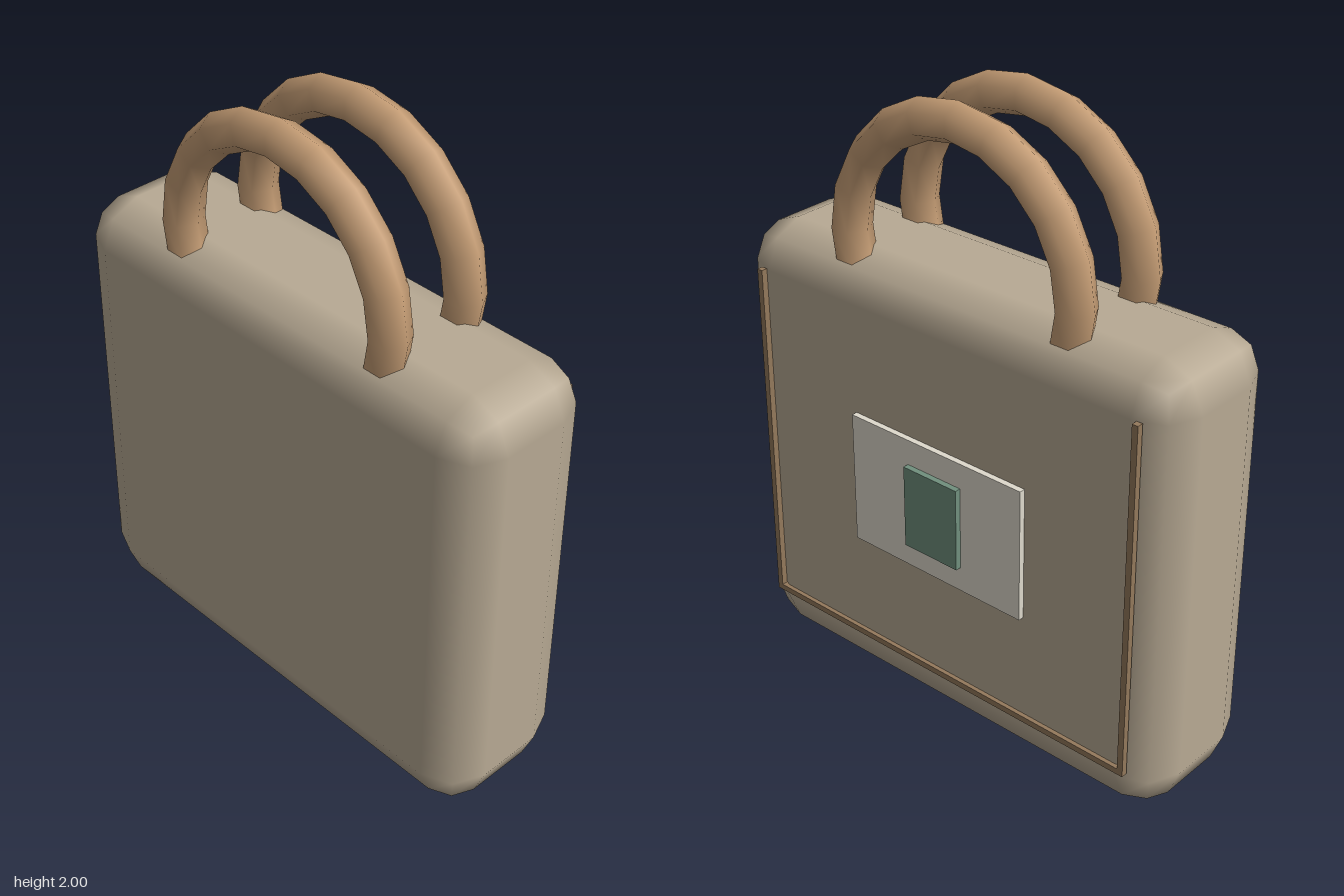
import * as THREE from 'three';

const material = (color) => new THREE.MeshStandardMaterial({ color });

// Box with every edge rounded by two facets, shaded smooth
function softBox(w, h, d, r) {
  const geo = new THREE.BoxGeometry(2, 2, 2, 3, 3, 3);
  const half = [w / 2 - r, h / 2 - r, d / 2 - r];
  const pos = geo.attributes.position, nor = geo.attributes.normal;
  const p = new THREE.Vector3(), dir = new THREE.Vector3();
  for (let i = 0; i < pos.count; i++) {
    p.fromBufferAttribute(pos, i);
    // inner grid lines bound the flats, outer ones run along the rounded edges
    dir.set(...p.toArray().map((c) => (Math.abs(c) > 0.9 ? Math.sign(c) : 0))).normalize();
    nor.setXYZ(i, dir.x, dir.y, dir.z);
    pos.setXYZ(i,
      Math.sign(p.x) * half[0] + dir.x * r,
      Math.sign(p.y) * half[1] + dir.y * r,
      Math.sign(p.z) * half[2] + dir.z * r);
  }
  return geo;
}

export function createModel() {
  const bag = new THREE.Group();
  bag.name = 'handbag';
  const bodyMat = material(0xb8aa94);
  const handleMat = material(0xc49c74);
  const trimMat = material(0x94795c);
  const labelMat = material(0xdfdacd);
  const badgeMat = material(0x71907e);

  const add = (name, geo, mat, x, y, z) => {
    const mesh = new THREE.Mesh(geo, mat);
    mesh.name = name;
    mesh.position.set(x, y, z);
    bag.add(mesh);
    return mesh;
  };
  // Block given by its limits on each axis
  const block = (name, mat, x0, x1, y0, y1, z0, z1) =>
    add(name, new THREE.BoxGeometry(x1 - x0, y1 - y0, z1 - z0), mat,
      (x0 + x1) / 2, (y0 + y1) / 2, (z0 + z1) / 2);

  // Body
  add('body', softBox(1.636, 1.46, 0.486, 0.135), bodyMat, 0, 0.73, 0.017);

  // Two hoop handles, their ends sunk into the body
  for (const [name, z] of [['frontHandle', 0.16], ['backHandle', -0.126]]) {
    const hoop = add(name, new THREE.TorusGeometry(0.42, 0.0625, 6, 12, Math.PI * 1.2), handleMat, 0, 1.518, z);
    hoop.rotation.z = -Math.PI * 0.1;
  }

  // Pocket trim on the back: two sides and the bottom
  for (const s of [-1, 1]) {
    block(s > 0 ? 'leftPocketTrim' : 'rightPocketTrim', trimMat,
      s * 0.71 - 0.01, s * 0.71 + 0.01, 0.16, 1.325, -0.24, -0.22);
  }
  block('bottomPocketTrim', trimMat, -0.70, 0.70, 0.16, 0.18, -0.24, -0.22);

  // Label patch and the badge on it
  block('label', labelMat, -0.33, 0.33, 0.53, 0.968, -0.245, -0.22);
  block('badge', badgeMat, -0.103, 0.103, 0.612, 0.885, -0.264, -0.24);

  return bag;
}
